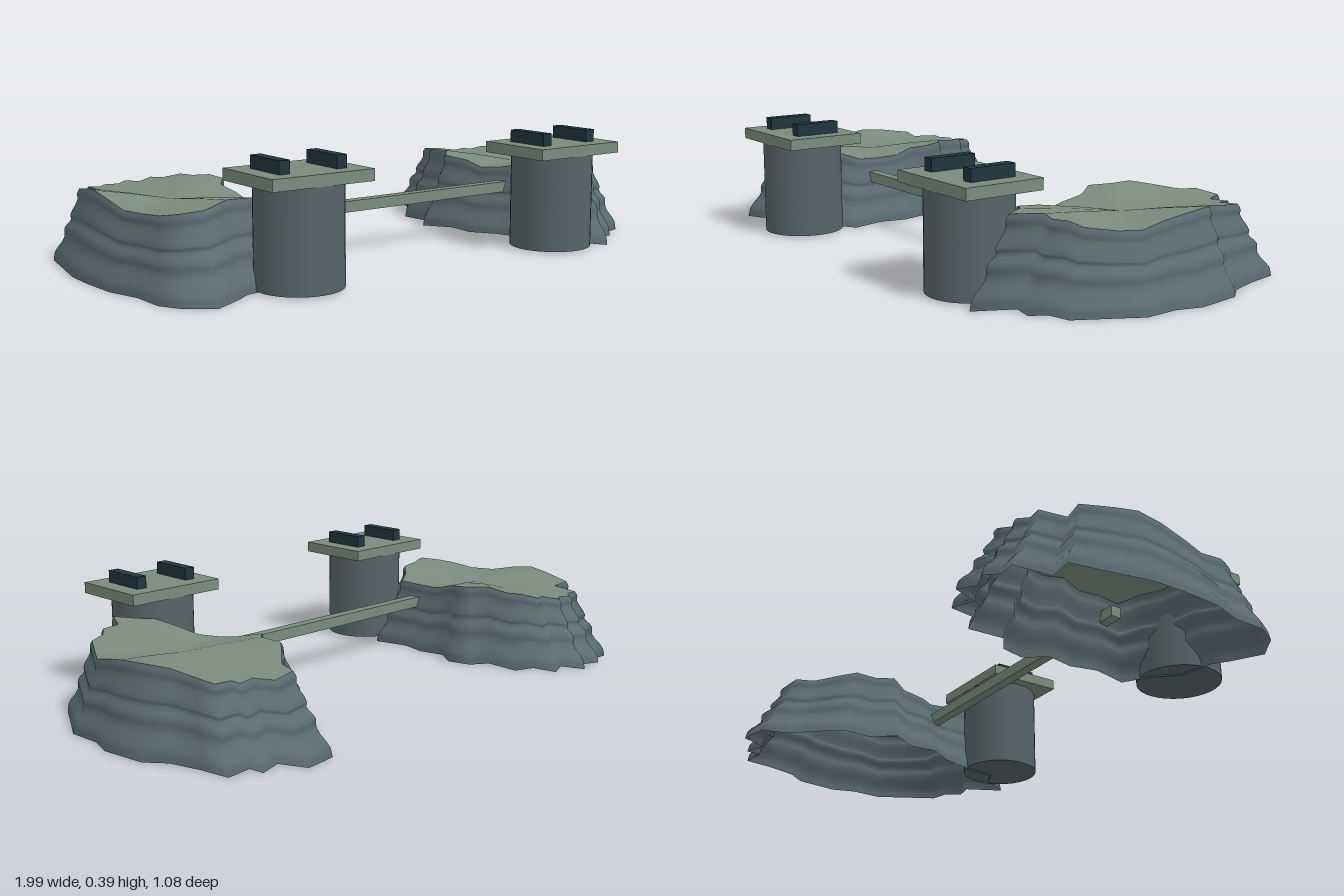
import * as THREE from 'three';

const mat = (name, color, side = THREE.FrontSide) => {
  const m = new THREE.MeshStandardMaterial({ color, side });
  m.name = name;
  return m;
};

// Ground outlines of the two banks as x, z pairs, running from back round by +x
const RIGHT_BANK = [
  -.67, -.52, -.64, -.44, -.57, -.47, -.555, -.385, -.485, -.36, -.49, -.24, -.43, -.2, -.41, -.12,
  -.46, -.05, -.44, .04, -.46, .13, -.43, .25, -.51, .3, -.58, .37, -.69, .39, -.73, .42,
  -.83, .475, -.91, .42, -.95, .35, -.955, .24, -.99, .13, -1, 0, -1, -.11, -.98, -.21,
  -.955, -.355, -.875, -.345, -.865, -.47, -.81, -.465, -.775, -.505, -.72, -.48,
];
const LEFT_BANK = [
  .67, -.54, .71, -.455, .785, -.48, .79, -.43, .875, -.44, .89, -.345, .92, -.24, .97, -.18,
  .99, -.03, .965, .05, .97, .16, .925, .24, .865, .35, .8, .365, .765, .415, .7, .4,
  .64, .52, .58, .42, .52, .39, .5, .27, .465, .16, .41, .08, .415, -.02, .355, -.11,
  .42, -.18, .41, -.285, .465, -.35, .51, -.4, .545, -.44, .565, -.525,
];

// Stepped cliff profile: outline scale, height
const PROFILE = new THREE.CatmullRomCurve3([
  [1, 0], [.985, .03], [.9, .08], [.895, .11], [.835, .14], [.84, .155], [.775, .205], [.775, .225], [.755, .242],
].map(([s, y]) => new THREE.Vector3(s, y, 0))).getPoints(24);

function makeGeometry(positions, index) {
  const g = new THREE.BufferGeometry();
  g.setAttribute('position', new THREE.Float32BufferAttribute(positions, 3));
  g.setIndex(index);
  g.computeVertexNormals();
  return g;
}

// Hollow bank: wavy cliff wall with a slightly dished grassy cap
function makeBank(outline, cx, mirror, rockMat, topMat) {
  const n = outline.length / 2, wall = [], wallIndex = [];
  for (const p of PROFILE) {
    for (let i = 0; i < n; i++) {
      const dx = outline[2 * i] - cx, z = outline[2 * i + 1];
      const wave = 1 + .08 * Math.cos(3 * (Math.atan2(z, dx * mirror) + .4));
      wall.push(cx + dx * p.x, p.y * wave, z * p.x);
    }
  }
  for (let k = 0; k < PROFILE.length - 1; k++) {
    for (let i = 0; i < n; i++) {
      const j = (i + 1) % n, a = k * n + i, b = k * n + j;
      wallIndex.push(a, a + n, b, b, a + n, b + n);
    }
  }
  // Cap: the rim, a middle ring and the centre
  const rim = wall.slice(-3 * n), cap = [...rim], capIndex = [];
  for (let i = 0; i < n; i++) {
    cap.push(cx + (rim[3 * i] - cx) * .5, rim[3 * i + 1] * .5 + .115, rim[3 * i + 2] * .5);
  }
  cap.push(cx, .226, 0);
  for (let i = 0; i < n; i++) {
    const j = (i + 1) % n;
    capIndex.push(i, n + i, j, j, n + i, n + j, n + i, 2 * n, n + j);
  }
  const bank = new THREE.Group();
  const cliff = new THREE.Mesh(makeGeometry(wall, wallIndex), rockMat);
  cliff.name = 'cliffWall';
  const top = new THREE.Mesh(makeGeometry(cap, capIndex), topMat);
  top.name = 'bankTop';
  bank.add(cliff, top);
  return bank;
}

export function createModel() {
  const model = new THREE.Group();
  model.name = 'riverBanksWithPiers';
  const rock = mat('slate rock', 0x5b6c72, THREE.DoubleSide);
  const sage = mat('sage', 0x7a8c7e, THREE.DoubleSide);
  const stone = mat('pier stone', 0x566468);
  const dark = mat('dark teal', 0x20363e);

  const add = (parent, name, geometry, material, x, y, z) => {
    const m = new THREE.Mesh(geometry, material);
    m.name = name;
    m.position.set(x, y, z);
    parent.add(m);
  };

  const rightBank = makeBank(RIGHT_BANK, -.72, -1, rock, sage);
  rightBank.name = 'rightBank';
  const leftBank = makeBank(LEFT_BANK, .68, 1, rock, sage);
  leftBank.name = 'leftBank';
  model.add(rightBank, leftBank);

  // Round piers with a cap plate and two rails
  for (const [name, x] of [['rightPier', -.523], ['leftPier', .482]]) {
    const pier = new THREE.Group();
    pier.name = name;
    pier.position.set(x, 0, .407);
    add(pier, 'column', new THREE.CylinderGeometry(.134, .134, .31, 32), stone, 0, .16, 0);
    add(pier, 'capPlate', new THREE.BoxGeometry(.345, .036, .267), sage, 0, .333, 0);
    for (const side of [-1, 1]) {
      add(pier, 'rail', new THREE.BoxGeometry(.036, .04, .154), dark, side * .097, .371, 0);
    }
    model.add(pier);
  }

  // Beam joining the banks
  add(model, 'crossBeam', new THREE.BoxGeometry(1.1, .036, .036), sage, -.01, .162, .132);
  return model;
}
